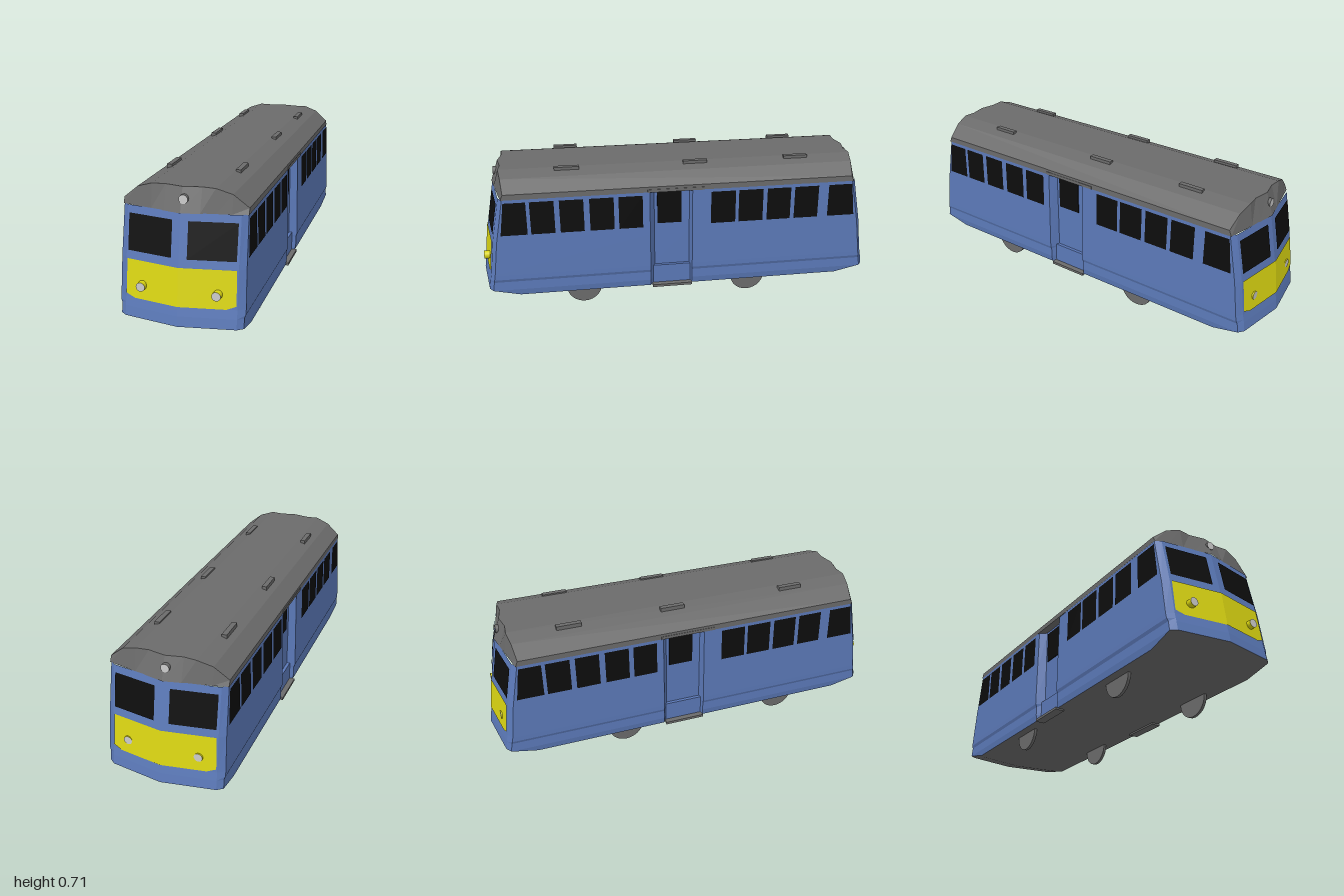
import * as THREE from 'three';

const mat = (name, color, side = THREE.FrontSide) => {
  const m = new THREE.MeshStandardMaterial({ color, side });
  m.name = name;
  return m;
};

// Body levels: height, half width, nose reach
const LEVELS = [
  [0.088, 0.272, 0.87], [0.12, 0.277, 1.0], [0.165, 0.276, 0.993], [0.18, 0.282, 0.99],
  [0.205, 0.282, 0.985], [0.375, 0.279, 0.963], [0.6, 0.275, 0.92],
];
const lerp = THREE.MathUtils.lerp;
function level(y, k) {
  let i = 0;
  while (i < LEVELS.length - 2 && y > LEVELS[i + 1][0]) i++;
  const a = LEVELS[i], b = LEVELS[i + 1];
  return lerp(a[k], b[k], (y - a[0]) / (b[0] - a[0]));
}
// Point on the pointed end face, pushed out a little
const onNose = (x, y, off = 0.004) => [x, y, level(y, 2) - Math.abs(x) * 0.16 + off];
const onSide = (z, y, off = 0.003) => [level(y, 1) + off, y, z];

// Flat-shaded geometry from convex polygons, corners counter-clockwise
function facets(polys) {
  const pos = [];
  for (const p of polys)
    for (let i = 1; i < p.length - 1; i++) pos.push(...p[0], ...p[i], ...p[i + 1]);
  const g = new THREE.BufferGeometry();
  g.setAttribute('position', new THREE.Float32BufferAttribute(pos, 3));
  g.computeVertexNormals();
  return g;
}

export function createModel() {
  const blue = mat('bodyBlue', 0x5b79b8);
  const yellow = mat('panelYellow', 0xdad512);
  const grey = mat('roofGrey', 0x6b6b6b);
  const black = mat('windowBlack', 0x0d0d0d);
  const silver = mat('lampSilver', 0xcccccc);

  const model = new THREE.Group();
  model.name = 'railcar';
  const add = (parent, name, geo, material, x = 0, y = 0, z = 0) => {
    const m = new THREE.Mesh(geo, material);
    m.name = name;
    m.position.set(x, y, z);
    parent.add(m);
    return m;
  };
  const box = (parent, name, material, x0, x1, y0, y1, z0, z1) =>
    add(parent, name, new THREE.BoxGeometry(x1 - x0, y1 - y0, z1 - z0), material,
      (x0 + x1) / 2, (y0 + y1) / 2, (z0 + z1) / 2);

  // Body shell: plan rings with a pointed nose and a recessed doorway on each side
  const rings = LEVELS.map(([y, w, n]) => {
    const half = [[0, n], [0.25, n - 0.04], [w, n - 0.06], [w, 0.16], [0.24, 0.135],
      [0.24, -0.04], [w, -0.05], [w, 0.06 - n], [0.25, 0.04 - n]];
    return [...half, ...half.map(([x, z]) => [-x, -z])].map(([x, z]) => [x, y, z]);
  });
  const shell = [], under = [];
  const count = rings[0].length;
  for (let j = 0; j < count; j++) {
    const k = (j + 1) % count;
    const isEnd = [0, 1, 7, 8].includes(j % 9);
    for (let i = 0; i < rings.length - 1; i++)
      (i === 0 && isEnd ? under : shell).push([rings[i][j], rings[i][k], rings[i + 1][k], rings[i + 1][j]]);
    under.push([[0, 0.088, 0], rings[0][k], rings[0][j]]);
  }
  add(model, 'bodyShell', facets(shell), blue);
  add(model, 'underside', facets(under), grey);

  // Roof: bevelled profile, each column has its own height and end reach
  const right = [[0, 0.703, 0.888], [0.08, 0.703, 0.872], [0.14, 0.703, 0.878],
    [0.21, 0.68, 0.866], [0.277, 0.625, 0.855]];
  const cols = [...right.slice(1).reverse().map(([x, y, z]) => [-x, y, z]), ...right];
  const base = cols.map(([x]) => [x, 0.598, 0.925 - Math.abs(x) * 0.21]);
  const back = ([x, y, z]) => [x, y, -z];
  const roof = [];
  for (let j = 0; j < cols.length - 1; j++) {
    const b0 = base[j], b1 = base[j + 1], t0 = cols[j], t1 = cols[j + 1];
    roof.push([b0, b1, t1, t0], [back(b1), back(b0), back(t0), back(t1)], [t0, t1, back(t1), back(t0)]);
  }
  const bl = base[0], br = base[base.length - 1], tl = cols[0], tr = cols[cols.length - 1];
  roof.push([br, back(br), back(tr), tr], [back(bl), bl, tl, back(tl)]);
  add(model, 'roof', facets(roof), grey);
  for (const z of [-0.59, -0.08, 0.55])
    for (const x of [-0.168, 0.155])
      box(model, 'roofVent', grey, x - 0.012, x + 0.012, 0.685, 0.709, z - 0.06, z + 0.06);

  // Wheels
  for (const z of [0.495, -0.35])
    for (const x of [-0.22, 0.22]) {
      const g = new THREE.CylinderGeometry(0.088, 0.088, 0.015, 28).rotateZ(Math.PI / 2);
      add(model, 'wheel', g, grey, x, 0.088, z);
    }

  // Each half carries one end and one side; the second is turned half way round
  for (const [name, turn, lampReach] of [['frontHalf', 0, 0.978], ['backHalf', Math.PI, 0.957]]) {
    const half = new THREE.Group();
    half.name = name;
    half.rotation.y = turn;
    model.add(half);

    for (const s of [-1, 1]) {
      const plate = (pts) => {
        const p = pts.map(([x, y]) => onNose(s * x, y));
        return facets([s > 0 ? p : p.reverse()]);
      };
      add(half, 'endWindow', plate([[0.035, 0.41], [0.241, 0.41], [0.241, 0.568], [0.035, 0.568]]), black);
      add(half, 'endPanel', plate([[0, 0.206], [0.205, 0.206], [0.247, 0.222], [0.243, 0.374], [0, 0.374]]), yellow);
      // Headlamp barrel and lens
      const barrel = new THREE.CylinderGeometry(0.02, 0.02, 0.05, 20).rotateX(Math.PI / 2);
      add(half, 'headlampBarrel', barrel, yellow, s * 0.168, 0.27, lampReach - 0.025);
      add(half, 'headlampLens', new THREE.CircleGeometry(0.02, 20), silver, s * 0.168, 0.27, lampReach + 0.001);
    }
    // Roof lamp
    const lamp = new THREE.CylinderGeometry(0.02, 0.02, 0.04, 16).rotateX(Math.PI / 2);
    add(half, 'roofLampBarrel', lamp, grey, 0.01, 0.655, 0.892);
    add(half, 'roofLampLens', new THREE.CircleGeometry(0.02, 16), silver, 0.01, 0.655, 0.913);

    // Side windows: front edge, rear edge, and how far each edge leans back at the top
    const panes = [[0.88, 0.752, 0.023, 0], [0.735, 0.62], [0.595, 0.48], [0.452, 0.335], [0.312, 0.195],
      [-0.142, -0.265], [-0.281, -0.404], [-0.425, -0.545], [-0.565, -0.688], [-0.74, -0.88, 0, 0.02]];
    for (const [z0, z1, lean0 = 0, lean1 = 0] of panes)
      add(half, 'sideWindow', facets([[onSide(z0, 0.417), onSide(z1, 0.417),
        onSide(z1 + lean1, 0.583), onSide(z0 - lean0, 0.583)]]), black);

    // Doorway: window, header, riser and step
    box(half, 'doorWindow', black, 0.239, 0.244, 0.417, 0.583, 0, 0.12);
    box(half, 'doorHeader', grey, 0.235, 0.279, 0.597, 0.612, -0.11, 0.17);
    box(half, 'doorRiser', blue, 0.235, 0.256, 0.09, 0.19, -0.046, 0.145);
    box(half, 'doorStep', grey, 0.235, 0.283, 0.08, 0.093, -0.05, 0.15);
  }
  return model;
}
